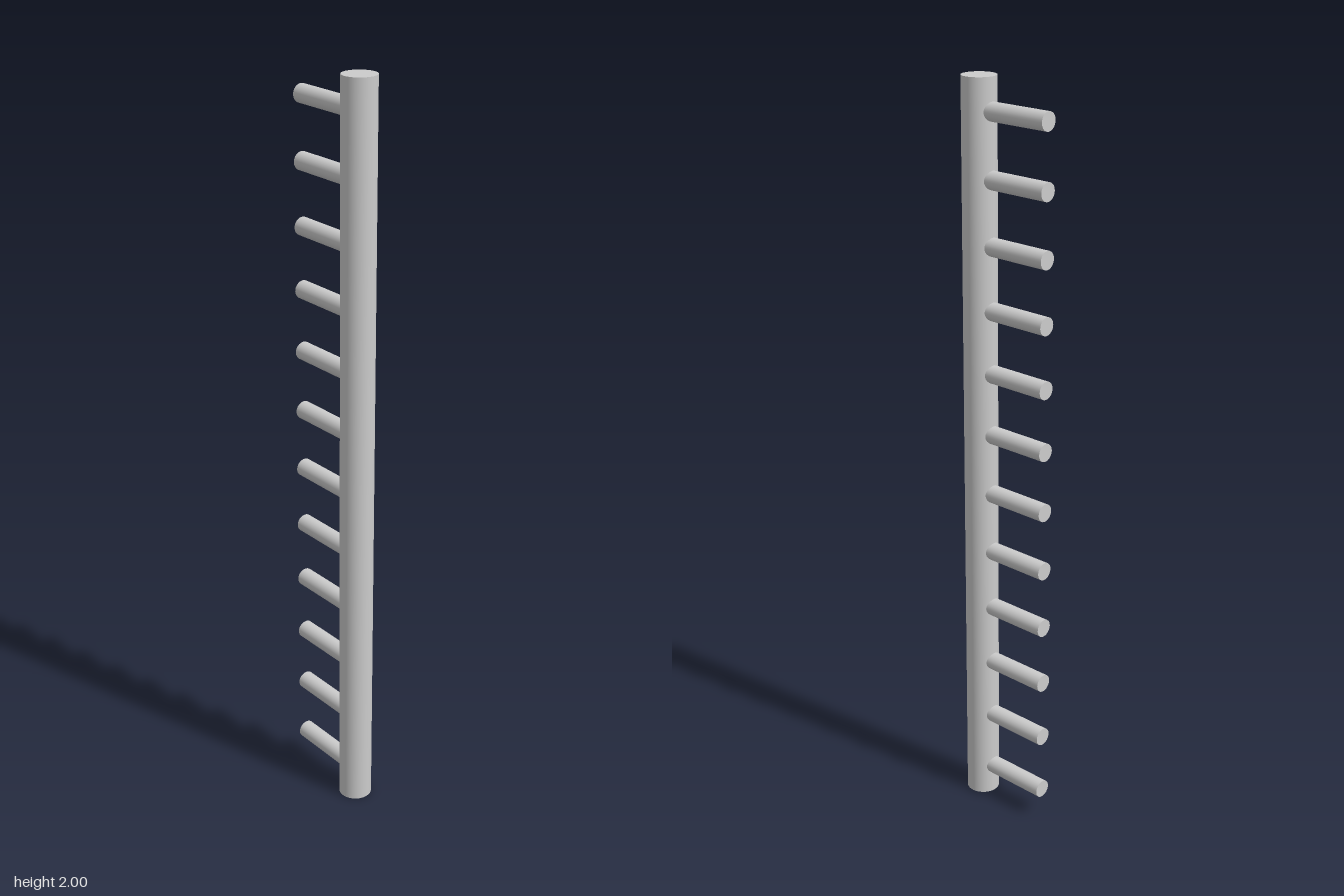
import * as THREE from 'three';

export function createModel() {
  const group = new THREE.Group();
  group.name = 'peggedPost';
  const material = new THREE.MeshStandardMaterial({ color: 0xcccccc });

  const height = 2, postX = 0.09, postRadius = 0.0445;
  const pegCount = 12, pegRadius = 0.024, pegTip = -0.1345;

  // Upright round post
  const post = new THREE.Mesh(new THREE.CylinderGeometry(postRadius, postRadius, height, 48), material);
  post.name = 'post';
  post.position.set(postX, height / 2, 0);
  group.add(post);

  // Evenly spaced pegs on the right side, rooted in the middle of the post
  const pegLength = postX - pegTip;
  const pegGeometry = new THREE.CylinderGeometry(pegRadius, pegRadius, pegLength, 32).rotateZ(Math.PI / 2);
  for (let i = 0; i < pegCount; i++) {
    const peg = new THREE.Mesh(pegGeometry, material);
    peg.name = `peg${i + 1}`;
    peg.position.set(pegTip + pegLength / 2, ((i + 0.5) * height) / pegCount, 0);
    group.add(peg);
  }
  return group;
}
